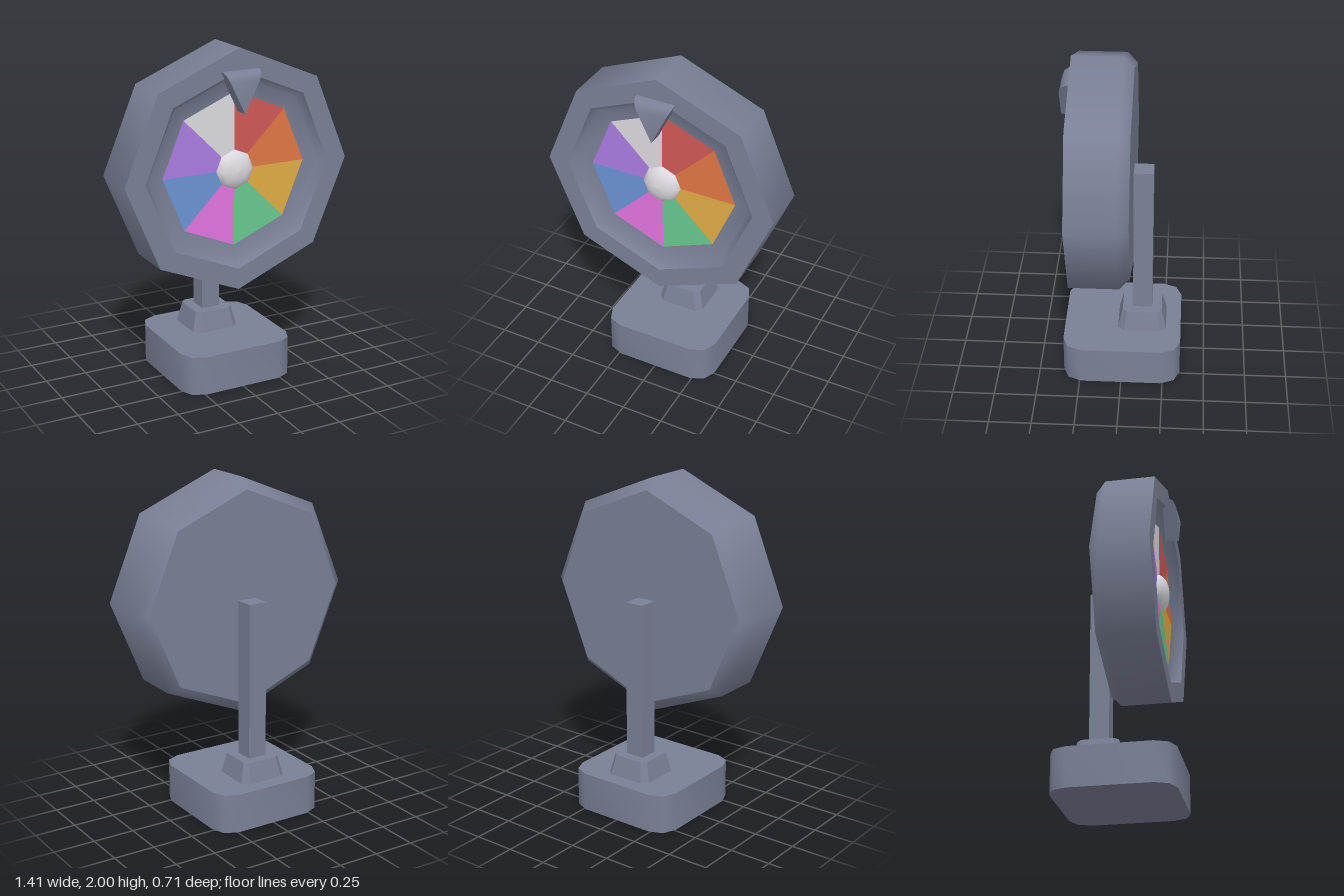
import * as THREE from 'three';
import { toCreasedNormals } from 'three/addons/utils/BufferGeometryUtils.js';

const CY = 1.295; // height of the wheel centre

function material(name, color) {
  const m = new THREE.MeshStandardMaterial({ color });
  m.name = name;
  return m;
}

function mesh(name, geometry, mat, parent) {
  const m = new THREE.Mesh(geometry, mat);
  m.name = name;
  parent.add(m);
  return m;
}

// Eight-sided surface of revolution about z; profile is [radius, z] from back to front
function lathe(profile) {
  const g = new THREE.LatheGeometry(profile.map(p => new THREE.Vector2(...p)), 8);
  return g.rotateX(Math.PI / 2);
}

// Upright block with cut corners, tapering to `taper` at its top
function block(half, height, corner, taper, crease) {
  const pts = [];
  for (let q = 0; q < 4; q++) {
    for (const [x, y] of corner) {
      const v = new THREE.Vector2(x * half, y * half);
      pts.push(v.rotateAround(new THREE.Vector2(), q * Math.PI / 2));
    }
  }
  const g = new THREE.ExtrudeGeometry(new THREE.Shape(pts), { depth: height, bevelEnabled: false });
  g.rotateX(-Math.PI / 2);
  const p = g.attributes.position;
  for (let i = 0; i < p.count; i++) {
    const s = 1 + (taper - 1) * p.getY(i) / height;
    p.setX(i, p.getX(i) * s);
    p.setZ(i, p.getZ(i) * s);
  }
  g.computeVertexNormals();
  return toCreasedNormals(g, crease);
}

// Triangular pointer: a side profile swept across x, narrowing towards the tip
function pointerGeometry() {
  const top = 1.875, tip = 1.64, halfWidth = 0.117;
  const side = [[0.27, tip], [0.353, tip], [0.353, 1.82], [0.338, 1.858], [0.31, top], [0.27, top]];
  const shape = new THREE.Shape(side.map(p => new THREE.Vector2(...p)));
  const g = new THREE.ExtrudeGeometry(shape, { depth: 2, bevelEnabled: false });
  g.translate(0, 0, -1).rotateY(-Math.PI / 2);
  const p = g.attributes.position;
  for (let i = 0; i < p.count; i++) {
    const w = Math.max(0.001, halfWidth * (p.getY(i) - tip) / (top - tip));
    p.setX(i, p.getX(i) * w);
  }
  g.computeVertexNormals();
  return toCreasedNormals(g, 0.85);
}

export function createModel() {
  const model = new THREE.Group();
  model.name = 'prizeWheel';
  const body = material('slate', 0x7a8096);
  const pale = material('pale grey', 0xdddbe1);
  const wedgeMaterials = [
    material('red', 0xcf5a56),
    material('orange', 0xe27745),
    material('yellow', 0xe2ac45),
    material('green', 0x69c991),
    material('pink', 0xe376e1),
    material('blue', 0x6b94d6),
    material('purple', 0xac7ce3),
    pale,
  ];

  // Stand
  const stand = new THREE.Group();
  stand.name = 'stand';
  model.add(stand);
  mesh('base', block(0.353, 0.235, [[1, 0.68], [0.905, 0.905], [0.68, 1]], 1, 0.9), body, stand);
  mesh('collar', block(0.146, 0.12, [[1, 0.76], [0.76, 1]], 0.81, 0.5), body, stand)
    .position.set(0, 0.235, -0.117);
  mesh('post', new THREE.BoxGeometry(0.116, 1.06, 0.116), body, stand)
    .position.set(0, 0.765, -0.118);

  // Wheel housing
  const wheel = new THREE.Group();
  wheel.name = 'wheel';
  wheel.position.y = CY;
  model.add(wheel);
  mesh('backPlate', lathe([[0, -0.06], [0.64, -0.06]]), body, wheel);
  mesh('housing', lathe([[0.64, -0.06], [0.705, 0], [0.705, 0.29]]), body, wheel);
  mesh('frontRim', lathe([[0.705, 0.29], [0.58, 0.29]]), body, wheel);
  mesh('innerBevel', lathe([[0.58, 0.29], [0.54, 0.245], [0.445, 0.23]]), body, wheel);

  // Coloured wedges, clockwise from the top
  wedgeMaterials.forEach((mat, i) => {
    const start = Math.PI / 2 - (i + 1) * Math.PI / 4;
    const g = new THREE.CircleGeometry(0.45, 1, start, Math.PI / 4);
    mesh('wedge' + (i + 1), g, mat, wheel).position.z = 0.231;
  });

  // Domed hub
  mesh('hub', lathe([[0.117, 0.225], [0.113, 0.245], [0.088, 0.268], [0.048, 0.283], [0, 0.288]]), pale, wheel);

  mesh('pointer', pointerGeometry(), body, model);
  return model;
}
